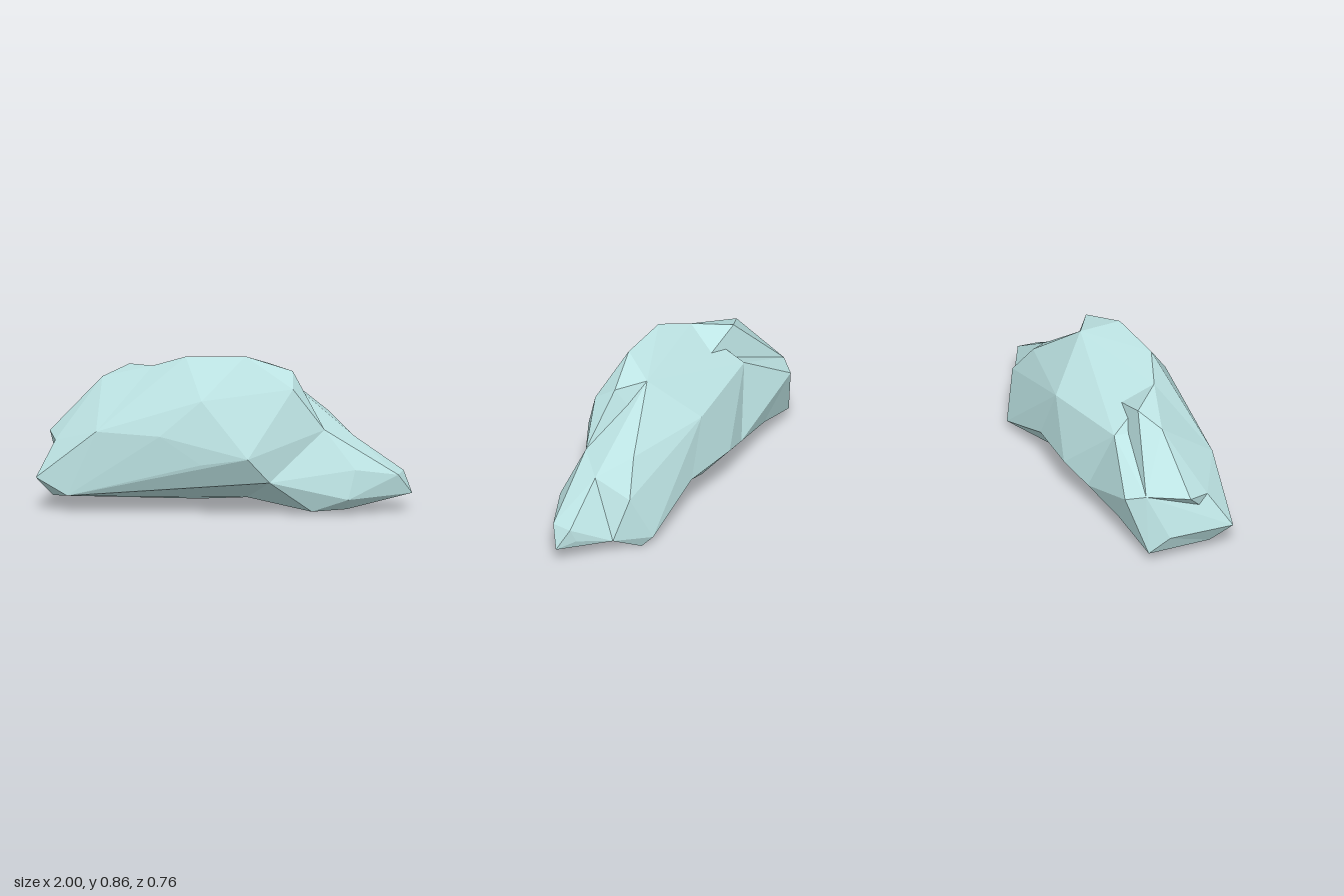
import * as THREE from 'three';
import { ConvexGeometry } from 'three/addons/geometries/ConvexGeometry.js';

// Faceted boulder: overlapping convex lumps, leaving shallow valleys where they meet
const LUMPS = {
  // ridge above the blunt end
  bluntEndRidge: [
    [-0.98, 0.4, 0.12], [-0.92, 0.37, 0.24], [-0.9, 0.42, -0.11], [-0.7, 0.7, 0.06],
    [-0.57, 0.76, -0.03], [-0.4, 0.785, 0.13], [-0.34, 0.675, -0.05], [-0.66, 0.45, 0.37],
    [-0.3, 0.44, 0.38], [-0.82, 0.09, 0.38],
  ],
  // shelf behind that ridge
  bluntEndShelf: [
    [-0.9, 0.42, -0.11], [-0.84, 0.39, -0.21], [-0.34, 0.675, -0.05], [-0.52, 0.59, -0.15],
    [-0.65, 0.3, -0.19], [-0.65, 0.15, -0.18], [-0.38, 0.19, -0.25], [-0.92, 0.37, 0.24],
    [-0.98, 0.17, 0],
  ],
  // base of the blunt end
  bluntEndBase: [
    [-1, 0.18, 0.36], [-0.82, 0.09, 0.38], [-0.93, 0.065, 0.25], [-0.98, 0.17, 0],
    [-0.92, 0.37, 0.24], [-0.9, 0.42, -0.11], [-0.66, 0.45, 0.37], [-0.65, 0.3, -0.19],
    [-0.65, 0.15, -0.18], [-0.38, 0.19, -0.25], [-0.2, 0.01, -0.12],
  ],
  // small foot at the back corner
  bluntEndFoot: [
    [-0.94, 0.07, -0.11], [-0.93, 0.065, 0.25], [-0.98, 0.17, 0], [-0.65, 0.15, -0.18],
    [-0.84, 0.39, -0.21], [-0.9, 0.42, -0.11],
  ],
  // main mass with the highest ridge
  crest: [
    [-0.4, 0.785, 0.13], [-0.34, 0.675, -0.05], [-0.52, 0.59, -0.15], [-0.08, 0.635, 0.32],
    [-0.3, 0.44, 0.38], [-0.66, 0.45, 0.37], [-0.82, 0.09, 0.38], [-0.2, 0.855, 0.19],
    [0.12, 0.86, 0.13], [0.2, 0.79, -0.07], [0.36, 0.77, 0.025], [0.39, 0.69, 0.14],
    [0.55, 0.46, 0.07], [0.19, 0.33, 0.36], [0.29, 0.19, 0.27], [-0.07, 0.29, 0.37],
    [0, 0.55, -0.29], [0.13, 0.225, -0.33], [-0.2, 0.245, -0.32], [-0.38, 0.19, -0.25],
    [-0.2, 0.01, -0.12], [0.07, 0.03, -0.12],
  ],
  // shoulder behind the tapered end
  backShoulder: [
    [0.2, 0.79, -0.07], [0, 0.55, -0.29], [0.13, 0.225, -0.33], [0.5, 0.51, -0.23],
    [0.55, 0.46, 0.07], [0.67, 0.405, -0.1], [0.62, 0.32, -0.305], [0.72, 0.09, -0.27],
    [0.51, 0.06, -0.38], [0.55, 0, -0.33], [0.5, 0.02, 0.16], [0.29, 0.19, 0.27],
    [0.07, 0.03, -0.12],
  ],
  // low tapering end
  taperedEnd: [
    [0.55, 0.46, 0.07], [0.67, 0.405, -0.1], [0.73, 0.25, 0.1], [0.7, 0.09, 0.14],
    [0.5, 0.02, 0.16], [0.29, 0.19, 0.27], [0.94, 0.21, -0.03], [0.94, 0.215, -0.15],
    [0.91, 0.14, -0.17], [1, 0.1, -0.1], [0.72, 0.09, -0.27], [0.68, 0.03, 0.09],
    [0.6, 0.06, -0.085],
  ],
};

export function createModel() {
  const rock = new THREE.Group();
  rock.name = 'rock';
  const stone = new THREE.MeshStandardMaterial({ color: 0xbde4e4, flatShading: true });
  for (const [name, corners] of Object.entries(LUMPS)) {
    const points = corners.map((c) => new THREE.Vector3(...c));
    const lump = new THREE.Mesh(new ConvexGeometry(points), stone);
    lump.name = name;
    rock.add(lump);
  }
  return rock;
}
